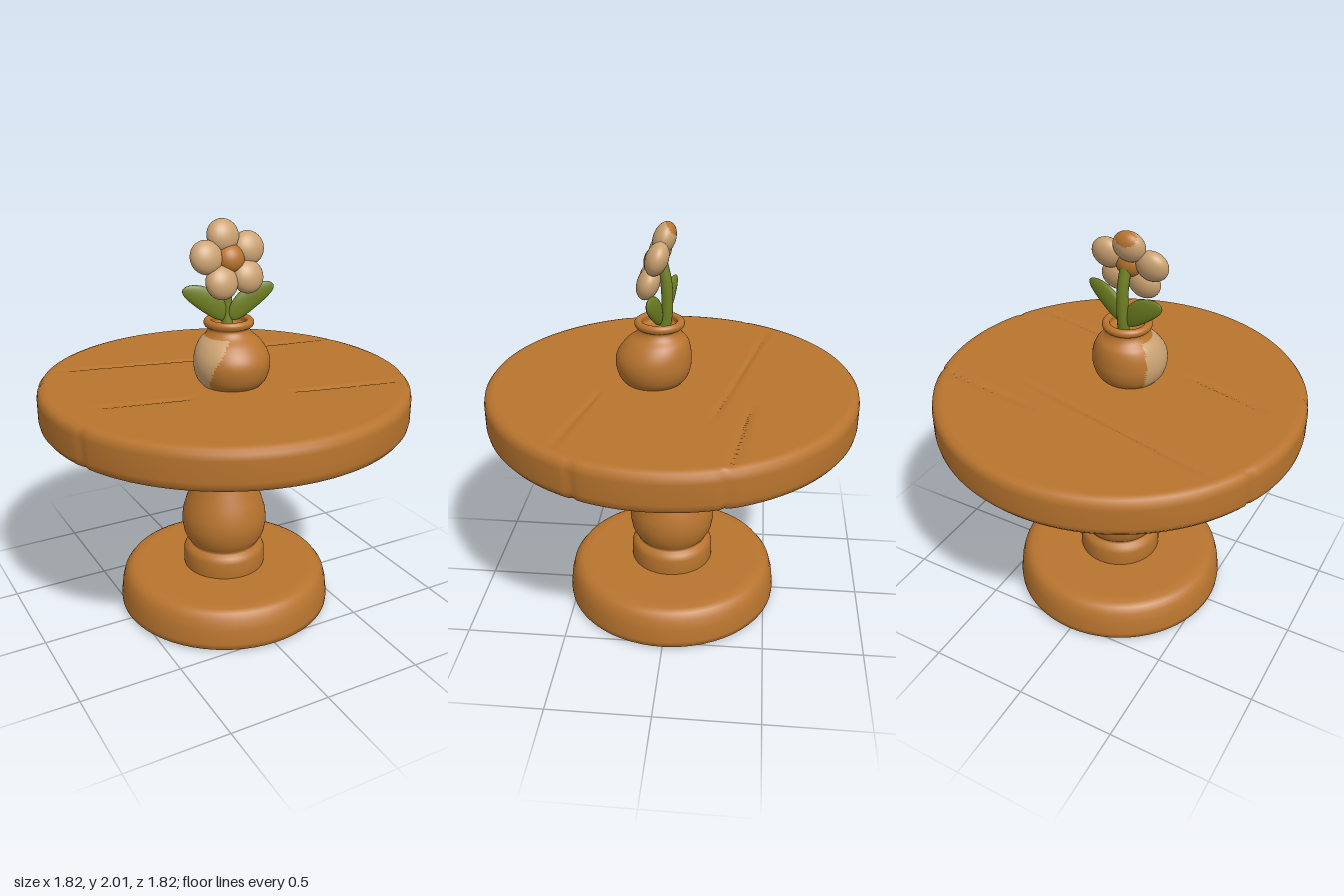
import * as THREE from 'three';
import { mergeVertices } from 'three/addons/utils/BufferGeometryUtils.js';

const material = (name, color) => {
  const m = new THREE.MeshStandardMaterial({ color });
  m.name = name;
  return m;
};

export function createModel() {
  const wood = material('warm wood', 0xb8742e);
  const cream = material('pale tan', 0xcba272);
  const green = material('leaf green', 0x6f8022);
  const model = new THREE.Group();
  model.name = 'flowerTable';

  const add = (name, geo, mat, parent = model) => {
    const mesh = new THREE.Mesh(geo, mat);
    mesh.name = name;
    parent.add(mesh);
    return mesh;
  };
  const vec2 = (pts) => pts.map(([r, y]) => new THREE.Vector2(r, y));
  const lathe = (pts, seg = 64) => new THREE.LatheGeometry(vec2(pts), seg);

  // Move every vertex by a rule, then rebuild smooth, seamless normals
  const reshape = (geo, rule) => {
    geo.deleteAttribute('uv');
    geo.deleteAttribute('normal');
    const p = geo.attributes.position;
    const v = new THREE.Vector3();
    for (let i = 0; i < p.count; i++) {
      v.fromBufferAttribute(p, i);
      rule(v);
      p.setXYZ(i, v.x, v.y, v.z);
    }
    const out = mergeVertices(geo, 1e-5);
    out.computeVertexNormals();
    return out;
  };

  // Sort faces into two colour groups by a test on their centre
  const twoTone = (geo, test) => {
    const p = geo.attributes.position;
    const idx = geo.index.array;
    const sets = [[], []];
    const c = new THREE.Vector3();
    const v = new THREE.Vector3();
    for (let i = 0; i < idx.length; i += 3) {
      c.set(0, 0, 0);
      for (let k = 0; k < 3; k++) c.add(v.fromBufferAttribute(p, idx[i + k]));
      sets[test(c.divideScalar(3)) ? 1 : 0].push(idx[i], idx[i + 1], idx[i + 2]);
    }
    geo.setIndex([...sets[0], ...sets[1]]);
    geo.addGroup(0, sets[0].length, 0);
    geo.addGroup(sets[0].length, sets[1].length, 1);
    return geo;
  };

  // Foot
  add('base', lathe([
    [0, 0], [0.525, 0], [0.525, 0.004], [0.546, 0.012], [0.548, 0.04], [0.54, 0.11], [0.527, 0.16],
    [0.505, 0.189], [0.48, 0.2], [0.44, 0.204], [0, 0.204],
  ]), wood);

  // Turned column
  add('pedestal', lathe([
    [0.205, 0.19], [0.211, 0.21], [0.211, 0.285], [0.2, 0.312], [0.18, 0.325], [0.172, 0.33],
    [0.185, 0.345], [0.208, 0.39], [0.219, 0.45], [0.214, 0.51], [0.193, 0.58], [0.166, 0.645],
    [0.148, 0.7], [0.145, 0.72], [0.162, 0.727], [0.177, 0.748], [0.181, 0.79], [0.177, 0.825],
    [0.163, 0.845], [0.146, 0.855], [0.147, 0.865], [0.167, 0.875], [0.18, 0.905], [0.176, 0.93],
    [0.163, 0.943], [0.172, 0.952], [0.203, 0.972], [0.21, 0.985], [0.21, 1.04],
  ]), wood);

  // Tabletop, with shallow plank seams pressed into both faces and the rim
  const seams = [
    [-0.74, -0.48, 0.45, -0.21], [0.22, -0.4, 0.88, -0.31],
    [-0.74, 0.1, -0.25, 0.21], [0.15, 0.33, 0.76, 0.46],
  ];
  const seamDepth = (x, z) => Math.max(...seams.map(([x0, z0, x1, z1]) => {
    const dx = x1 - x0, dz = z1 - z0, len = Math.hypot(dx, dz);
    const t = ((x - x0) * dx + (z - z0) * dz) / (len * len);
    const d = ((x - x0) * dz - (z - z0) * dx) / len;
    if (t < 0 || t > 1) return 0;
    return 0.01 * Math.min(1, 6 * t, 6 * (1 - t)) * Math.exp(-((d / 0.012) ** 2));
  }));
  const notches = [[0.86, -0.31], [-0.86, 0.3], [0.84, 0.35], [-0.84, -0.35]]
    .map(([x, z]) => Math.atan2(z, x));
  const rim = [
    [0.87, 1.03], [0.892, 1.037], [0.906, 1.055], [0.911, 1.08],
    [0.911, 1.18], [0.906, 1.206], [0.892, 1.223], [0.87, 1.23],
  ];
  const steps = 66;
  const topProfile = [];
  for (let i = 0; i < steps; i++) topProfile.push([0.87 * i / steps, 1.03]);
  topProfile.push(...rim);
  for (let i = steps - 1; i >= 0; i--) topProfile.push([0.87 * i / steps, 1.23]);
  add('tabletop', reshape(lathe(topProfile, 220), (v) => {
    const r = Math.hypot(v.x, v.z);
    if (r < 0.88) {
      v.y += (v.y > 1.13 ? -1 : 1) * seamDepth(v.x, v.z);
    } else {
      const a = Math.atan2(v.z, v.x);
      const cut = Math.max(...notches.map((n) => Math.exp(-(((a - n) / 0.016) ** 2))));
      v.x *= 1 - 0.012 * cut;
      v.z *= 1 - 0.012 * cut;
    }
  }), wood);

  // Vase, leaning back a little, with a pale patch on its right side
  const vaseCurve = new THREE.SplineCurve(vec2([
    [0.135, 1.22], [0.168, 1.26], [0.184, 1.32], [0.178, 1.38], [0.15, 1.435], [0.113, 1.47],
    [0.1, 1.497], [0.116, 1.51], [0.12, 1.53], [0.106, 1.544], [0.085, 1.535], [0.08, 1.5], [0, 1.48],
  ]));
  const vaseGeo = reshape(new THREE.LatheGeometry(vaseCurve.getPoints(60), 72), (v) => {
    v.z += 0.09 - 0.03 * THREE.MathUtils.smoothstep(v.y, 1.34, 1.5);
    v.x -= 0.006;
  });
  twoTone(vaseGeo, (c) => {
    const a = Math.atan2(c.z - 0.085, -c.x);
    const front = 0.4 + 2.6 * Math.max(0, c.y - 1.25);
    return c.y < 1.465 && a > -0.6 && a < front;
  });
  add('vase', vaseGeo, [wood, cream]);

  // Stem
  const stemPath = new THREE.CatmullRomCurve3([
    [0, 1.47, 0.04], [0, 1.58, 0.024], [0, 1.72, 0.026], [-0.005, 1.83, 0.05],
  ].map((p) => new THREE.Vector3(...p)));
  add('stem', new THREE.TubeGeometry(stemPath, 24, 0.028, 14), green);

  // Leaves: pointed pads that bulge in the middle
  const leafSpine = new THREE.QuadraticBezierCurve(
    new THREE.Vector2(0.015, 1.53), new THREE.Vector2(0.07, 1.64), new THREE.Vector2(0.222, 1.684));
  for (const side of [1, -1]) {
    const geo = new THREE.SphereGeometry(1, 20, 24);
    geo.rotateZ(-Math.PI / 2);
    const leaf = reshape(geo, (v) => {
      const t = THREE.MathUtils.clamp((v.x + 1) / 2, 0, 1);
      const p = leafSpine.getPoint(t);
      const n = leafSpine.getTangent(t);
      const w = v.y * 0.056;
      v.set(p.x - n.y * w, p.y + n.x * w, v.z * 0.02);
    });
    if (side < 0) leaf.rotateY(Math.PI);
    const mesh = add(side > 0 ? 'leftLeaf' : 'rightLeaf', leaf, green);
    mesh.position.z = side > 0 ? 0.05 : 0.04;
    mesh.rotation.y = -0.2;
  }

  // Flower head, tilted up
  const flower = new THREE.Group();
  flower.name = 'flower';
  flower.position.set(-0.012, 1.822, 0.075);
  flower.rotation.x = -0.34;
  model.add(flower);
  for (let i = 0; i < 5; i++) {
    const a = Math.PI / 2 + 0.12 + i * Math.PI * 0.4;
    const geo = new THREE.SphereGeometry(1, 32, 24);
    // The top petal has a coloured tip
    if (i === 0) twoTone(geo, (c) => c.y * 0.9 - c.z * 0.35 > 0.72);
    const petal = add('petal', geo, i === 0 ? [cream, wood] : cream, flower);
    petal.scale.set(0.08, 0.08, 0.053);
    petal.position.set(Math.cos(a) * 0.118, Math.sin(a) * 0.114, 0);
  }
  const heart = add('flowerCentre', new THREE.SphereGeometry(1, 24, 16), wood, flower);
  heart.scale.set(0.068, 0.068, 0.055);
  heart.position.set(0.005, 0.006, 0.004);

  return model;
}
